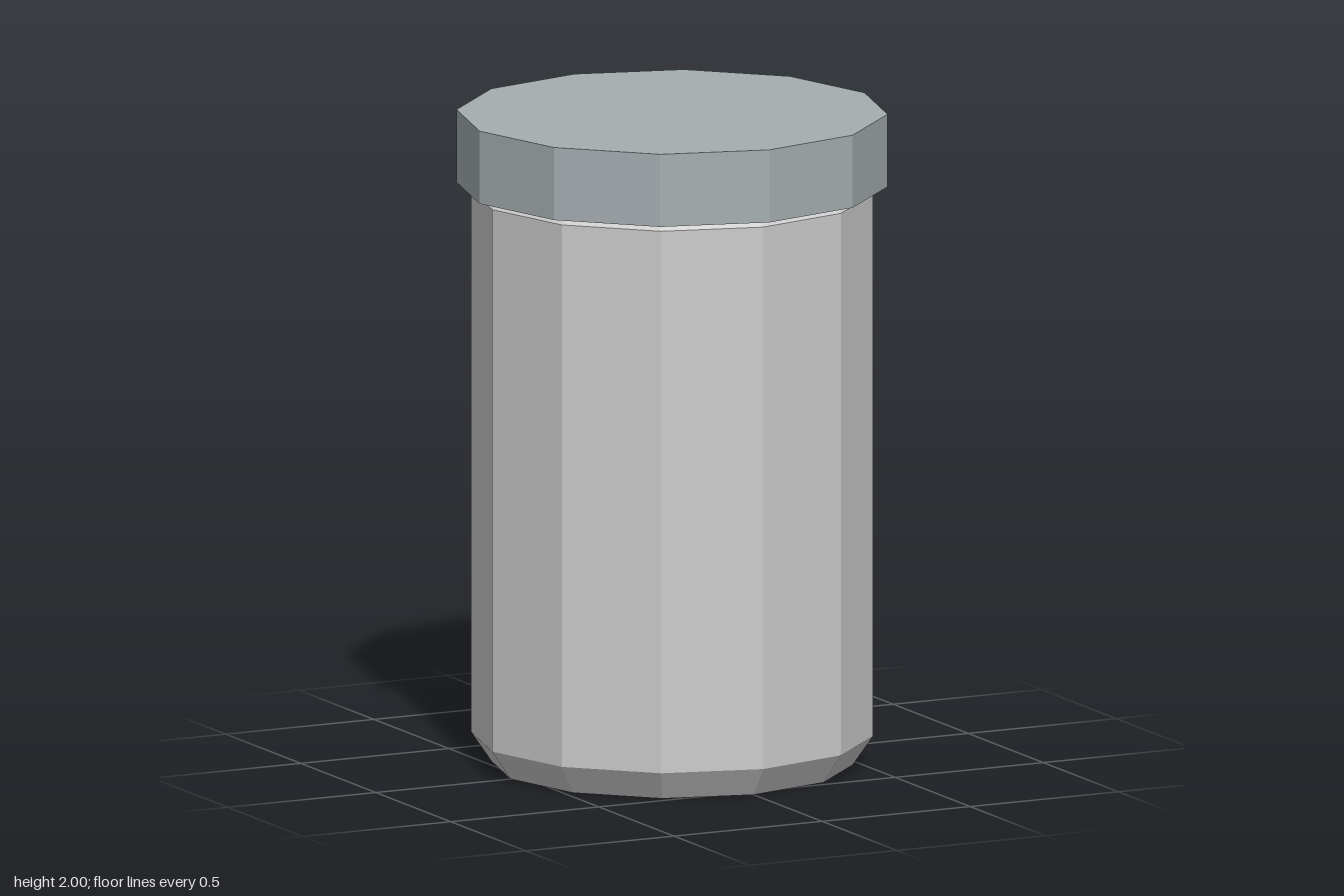
import * as THREE from 'three';

const SIDES = 12;

// Faceted solid of revolution from [radius, height] pairs, bottom to top
function turned(name, profile, color) {
  const points = profile.map(([r, y]) => new THREE.Vector2(r, y));
  const material = new THREE.MeshStandardMaterial({ color, flatShading: true });
  const mesh = new THREE.Mesh(new THREE.LatheGeometry(points, SIDES), material);
  mesh.name = name;
  return mesh;
}

export function createModel() {
  const model = new THREE.Group();
  model.name = 'lidded jar';

  // Body: bevelled foot, straight wall, small shoulder and a neck inside the lid
  model.add(turned('body', [
    [0, 0], [0.545, 0], [0.607, 0.09], [0.607, 1.755], [0.575, 1.78], [0, 1.78],
  ], 0xcccccc));

  // Lid: flat disc overhanging the body
  model.add(turned('lid', [
    [0, 1.777], [0.65, 1.777], [0.65, 2], [0, 2],
  ], 0xa5adb0));

  return model;
}
